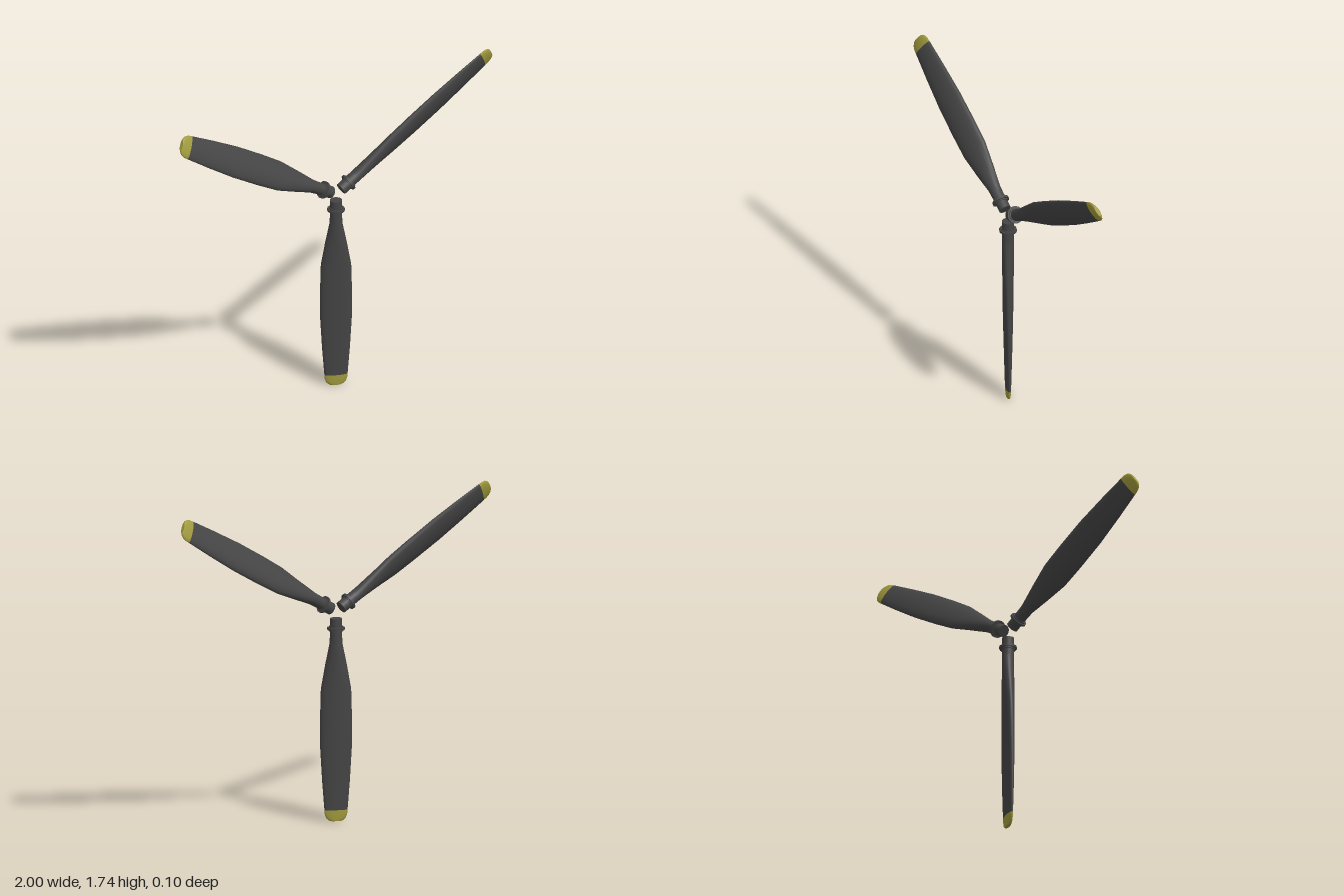
import * as THREE from 'three';

const SIDES = 20;

// Blade sections: [distance from hub, half chord, half thickness, pitch in degrees]
const bladeSections = [
  [0.14, 0.033, 0.033, 34],
  [0.175, 0.035, 0.033, 34],
  [0.29, 0.058, 0.032, 32],
  [0.42, 0.081, 0.030, 30],
  [0.56, 0.085, 0.029, 28],
  [0.74, 0.085, 0.025, 26],
  [0.92, 0.075, 0.020, 24],
  [1.077, 0.063, 0.015, 22],
];
const tipSections = [
  [1.077, 0.063, 0.015, 22],
  [1.10, 0.061, 0.014, 22],
  [1.12, 0.054, 0.013, 21.5],
  [1.132, 0.042, 0.012, 21],
  [1.137, 0.032, 0.011, 21],
];

// Lofts twisted elliptical sections outward along -y, optionally closing the outer end
function loft(sections, capped) {
  const pos = [], index = [];
  const addRing = ([r, a, b, deg]) => {
    const t = THREE.MathUtils.degToRad(deg), c = Math.cos(t), s = Math.sin(t);
    for (let j = 0; j < SIDES; j++) {
      const q = (j / SIDES) * Math.PI * 2;
      const u = a * Math.cos(q), v = b * Math.sin(q);
      pos.push(u * c - v * s, -r, u * s + v * c);
    }
  };
  sections.forEach(addRing);
  for (let i = 0; i < sections.length - 1; i++) {
    for (let j = 0; j < SIDES; j++) {
      const k = (j + 1) % SIDES, p = i * SIDES, n = p + SIDES;
      index.push(p + j, p + k, n + j, p + k, n + k, n + j);
    }
  }
  if (capped) {
    const last = sections[sections.length - 1], start = pos.length / 3;
    addRing(last);
    pos.push(0, -last[0], 0);
    for (let j = 0; j < SIDES; j++) {
      index.push(start + j, start + ((j + 1) % SIDES), start + SIDES);
    }
  }
  const g = new THREE.BufferGeometry();
  g.setAttribute('position', new THREE.Float32BufferAttribute(pos, 3));
  g.setIndex(index);
  g.computeVertexNormals();
  return g;
}

// A round, closed piece of the root, between two distances from the hub
function rootPiece(name, radius, inner, outer, material) {
  const g = new THREE.CylinderGeometry(radius, radius, outer - inner, SIDES);
  g.translate(0, -(inner + outer) / 2, 0);
  const m = new THREE.Mesh(g, material);
  m.name = name;
  return m;
}

export function createModel() {
  const dark = new THREE.MeshStandardMaterial({ color: 0x444444 });
  const yellow = new THREE.MeshStandardMaterial({ color: 0xa09a3c });

  const bladeGeometry = loft(bladeSections, false);
  const tipGeometry = loft(tipSections, true);

  const model = new THREE.Group();
  model.name = 'propeller';

  // Three identical blades around the empty hub centre
  ['lowerBlade', 'leftBlade', 'rightBlade'].forEach((name, i) => {
    const blade = new THREE.Group();
    blade.name = name;

    const airfoil = new THREE.Mesh(bladeGeometry, dark);
    airfoil.name = 'airfoil';
    const tip = new THREE.Mesh(tipGeometry, yellow);
    tip.name = 'paintedTip';
    blade.add(airfoil, tip);

    // Root shank with its collar
    blade.add(
      rootPiece('shank', 0.033, 0.037, 0.16, dark),
      rootPiece('collar', 0.047, 0.086, 0.098, dark),
      rootPiece('collarStep', 0.038, 0.08, 0.106, dark),
    );

    blade.position.y = 1.137;
    blade.rotation.z = (i * Math.PI * 2) / 3;
    model.add(blade);
  });

  return model;
}
